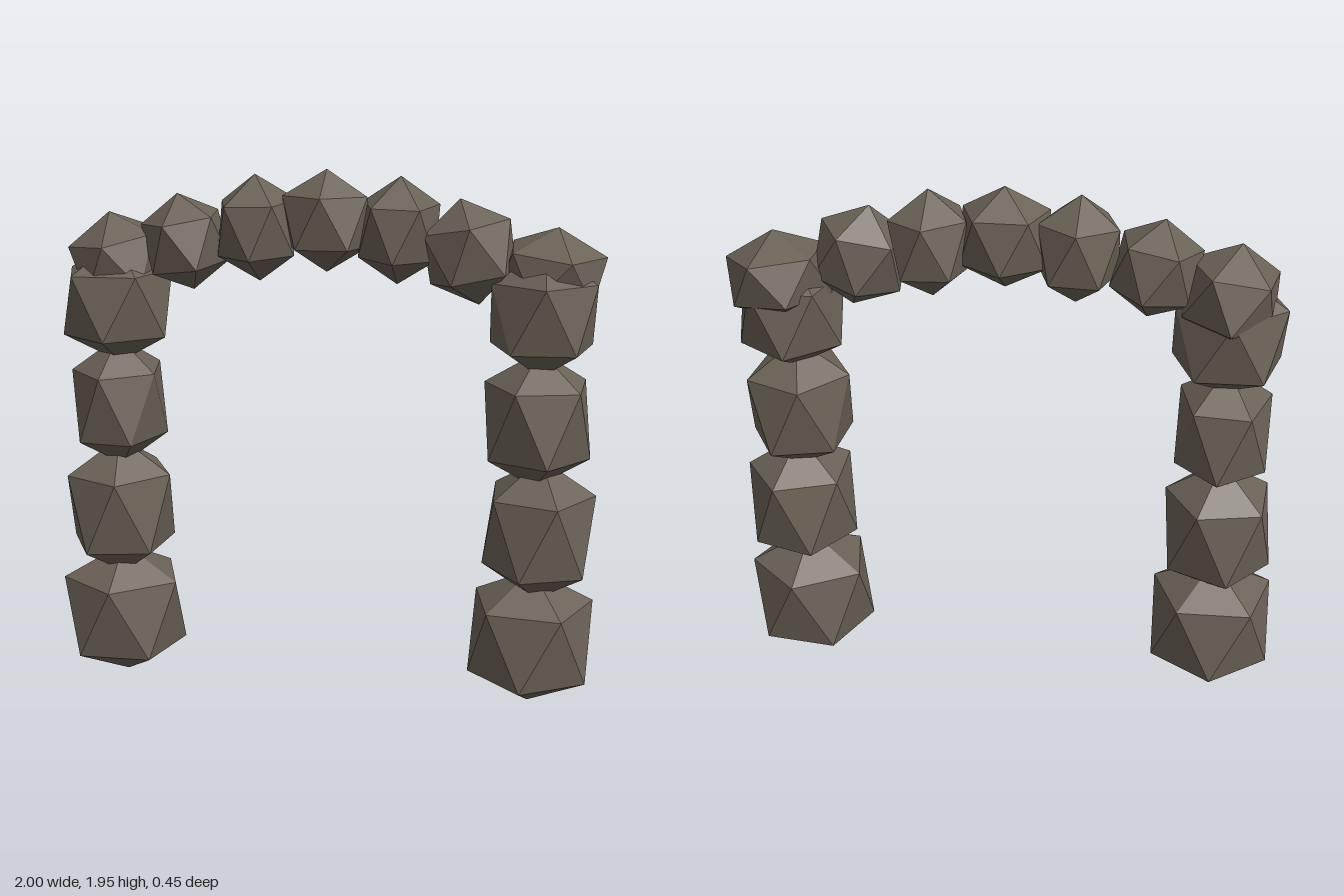
import * as THREE from 'three';

const stoneMaterial = new THREE.MeshStandardMaterial({ color: 0x6b6256, flatShading: true });
stoneMaterial.name = 'weathered stone';

// Twenty-sided boulder: two offset rings of five points, closed by a top and a bottom point.
// phase is the angle in degrees of the first upper point, measured from +x towards +z.
function boulder(rx, rz, ring, cap, phase) {
  const pos = [];
  const tip = (s) => new THREE.Vector3(0, s * (ring + cap), 0);
  const point = (s, k) => {
    const a = THREE.MathUtils.degToRad(phase + 72 * k + (s < 0 ? 36 : 0));
    return new THREE.Vector3(Math.cos(a) * rx, s * ring, Math.sin(a) * rz);
  };
  const face = (...pts) => pts.forEach((p) => pos.push(p.x, p.y, p.z));
  for (let k = 0; k < 5; k++) {
    face(tip(1), point(1, k + 1), point(1, k));
    face(point(1, k), point(1, k + 1), point(-1, k));
    face(point(1, k + 1), point(-1, k + 1), point(-1, k));
    face(tip(-1), point(-1, k), point(-1, k + 1));
  }
  const g = new THREE.BufferGeometry();
  g.setAttribute('position', new THREE.Float32BufferAttribute(pos, 3));
  g.computeVertexNormals();
  return g;
}

function addStone(group, name, [x, y, z], [rx, rz, ring, cap], phase, tilt = 0, lean = 0) {
  const mesh = new THREE.Mesh(boulder(rx, rz, ring, cap, phase), stoneMaterial);
  mesh.name = name;
  mesh.position.set(x, y, z);
  mesh.rotation.set(lean, 0, tilt);
  group.add(mesh);
}

export function createModel() {
  const model = new THREE.Group();
  model.name = 'stoneArch';

  // Pillars: x, y, z, radius x, radius z, ring half height, cap height, phase
  const pillars = {
    rightPillar: [
      [-0.78, 0.26, 0, 0.23, 0.225, 0.138, 0.122, 88],
      [-0.78, 0.675, 0, 0.2, 0.21, 0.138, 0.13, 78],
      [-0.77, 1.085, 0, 0.17, 0.205, 0.125, 0.12, 94],
      [-0.765, 1.46, 0, 0.2, 0.21, 0.115, 0.11, 52],
    ],
    leftPillar: [
      [0.775, 0.26, 0, 0.228, 0.228, 0.138, 0.122, 60],
      [0.79, 0.675, 0, 0.2, 0.212, 0.138, 0.13, 70],
      [0.77, 1.085, 0, 0.192, 0.205, 0.13, 0.12, 40],
      [0.775, 1.465, 0, 0.19, 0.21, 0.115, 0.11, 86],
    ],
  };
  for (const [name, stones] of Object.entries(pillars)) {
    const pillar = new THREE.Group();
    pillar.name = name;
    stones.forEach(([x, y, z, rx, rz, ring, cap, phase], i) =>
      addStone(pillar, `pillarStone${i + 1}`, [x, y, z], [rx, rz, ring, cap], phase));
    model.add(pillar);
  }

  // Arch: x, y, z, radius x, radius z, ring half height, cap height, phase, tilt, lean
  const arch = new THREE.Group();
  arch.name = 'archSpan';
  [
    [-0.76, 1.61, -0.02, 0.165, 0.2, 0.085, 0.095, 84, 0.15, 0.08],
    [-0.505, 1.685, -0.01, 0.148, 0.165, 0.085, 0.09, 100, 0.14, 0.06],
    [-0.24, 1.74, -0.01, 0.145, 0.165, 0.092, 0.098, 54, 0.03, 0.04],
    [0.01, 1.77, -0.01, 0.158, 0.145, 0.09, 0.09, 90, 0, 0],
    [0.265, 1.74, -0.02, 0.142, 0.165, 0.092, 0.098, 126, -0.03, 0.04],
    [0.515, 1.675, 0, 0.16, 0.15, 0.09, 0.097, 80, 0.2, 0],
    [0.8, 1.605, -0.04, 0.18, 0.185, 0.075, 0.085, 70, -0.1, 0.08],
  ].forEach(([x, y, z, rx, rz, ring, cap, phase, tilt, lean], i) =>
    addStone(arch, `archStone${i + 1}`, [x, y, z], [rx, rz, ring, cap], phase, tilt, lean));
  model.add(arch);

  return model;
}
